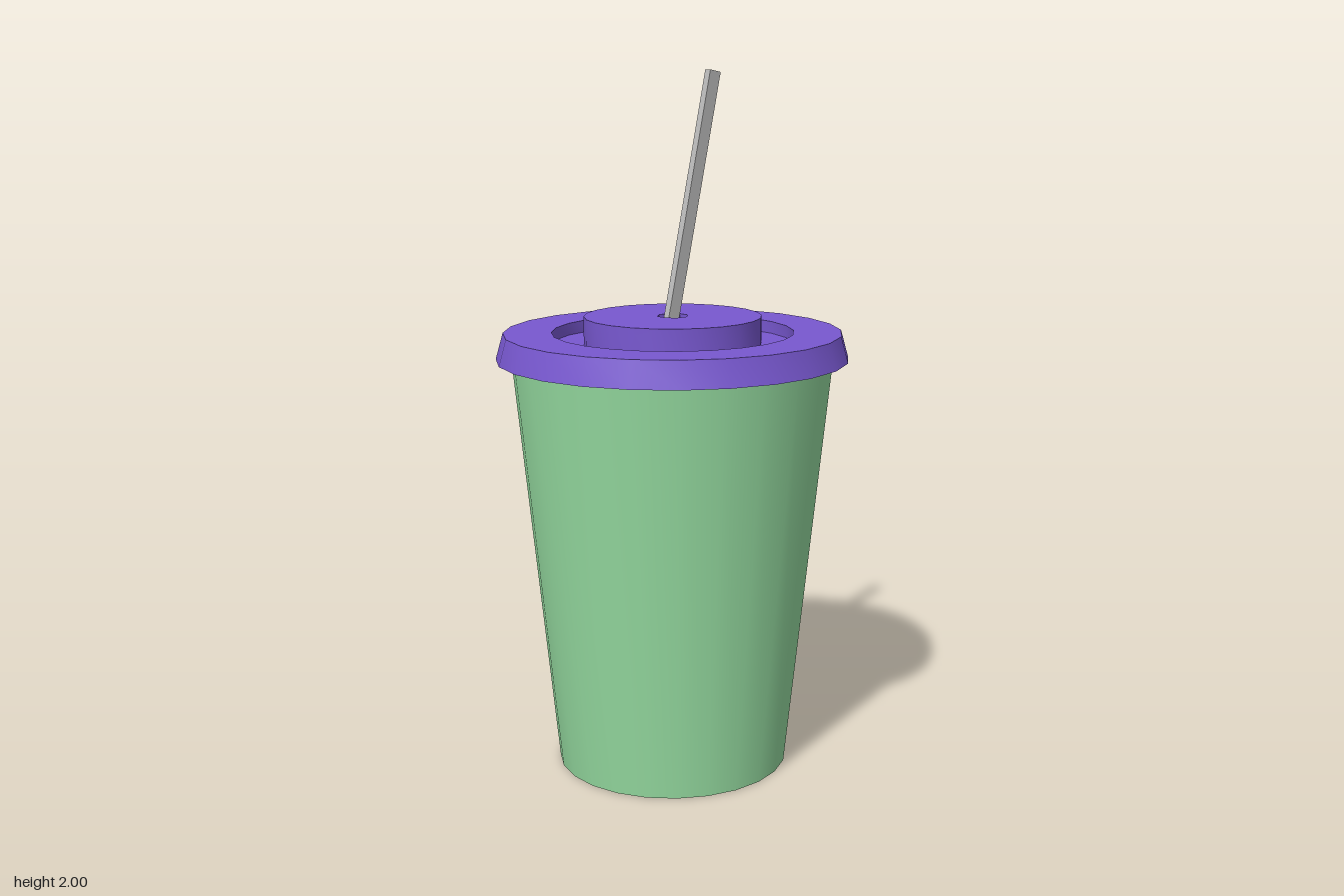
import * as THREE from 'three';
import { toCreasedNormals } from 'three/addons/utils/BufferGeometryUtils.js';

const SIDES = 24;
const SQUASH = 0.966; // the cup is slightly narrower in depth

const ring = (r, n) => Array.from({ length: n }, (_, i) => {
  const a = (i / n) * Math.PI * 2;
  return new THREE.Vector2(r * Math.cos(a), r * Math.sin(a));
});

function lathe(profile) {
  const points = profile.map(([r, y]) => new THREE.Vector2(r, y));
  return toCreasedNormals(new THREE.LatheGeometry(points, SIDES), 0.6);
}

function part(name, geometry, color, extra = {}) {
  const mesh = new THREE.Mesh(geometry, new THREE.MeshStandardMaterial({ color, ...extra }));
  mesh.name = name;
  return mesh;
}

export function createModel() {
  const group = new THREE.Group();
  group.name = 'drinkCup';
  const green = 0x95dba0, purple = 0x7858d0;

  const body = new THREE.Group();
  body.name = 'cupWithLid';
  body.scale.z = SQUASH;
  group.add(body);

  // Tapered cup, closed just below the lid
  body.add(part('cup', lathe([[0, 0], [0.337, 0], [0.463, 1.235], [0, 1.235]]), green));

  // Lid: underside, sloping rim, flat top and sunken groove
  body.add(part('lidRim', lathe([
    [0.455, 1.2], [0.503, 1.2], [0.482, 1.275],
    [0.345, 1.275], [0.345, 1.24], [0.24, 1.24],
  ]), purple, { side: THREE.DoubleSide }));

  // Raised centre of the lid with the straw hole
  const disc = new THREE.Shape(ring(0.253, SIDES));
  disc.holes.push(new THREE.Path(ring(0.045, 8)));
  const discGeometry = new THREE.ExtrudeGeometry(disc, { depth: 0.08, bevelEnabled: false });
  discGeometry.rotateX(-Math.PI / 2).translate(0, 1.24, 0);
  body.add(part('lidCentre', toCreasedNormals(discGeometry, 0.6), purple));

  // Leaning three-sided hollow straw, hung from its top end
  const length = 0.775;
  const strawGeometry = new THREE.CylinderGeometry(0.0255, 0.0255, length, 3, 1, true, Math.PI / 2);
  strawGeometry.translate(0, -length / 2, 0);
  const straw = part('straw', strawGeometry, 0xcccccc, { flatShading: true, side: THREE.DoubleSide });
  straw.position.set(0.114, 1.998, 0);
  straw.rotation.z = -THREE.MathUtils.degToRad(10);
  group.add(straw);

  return group;
}
